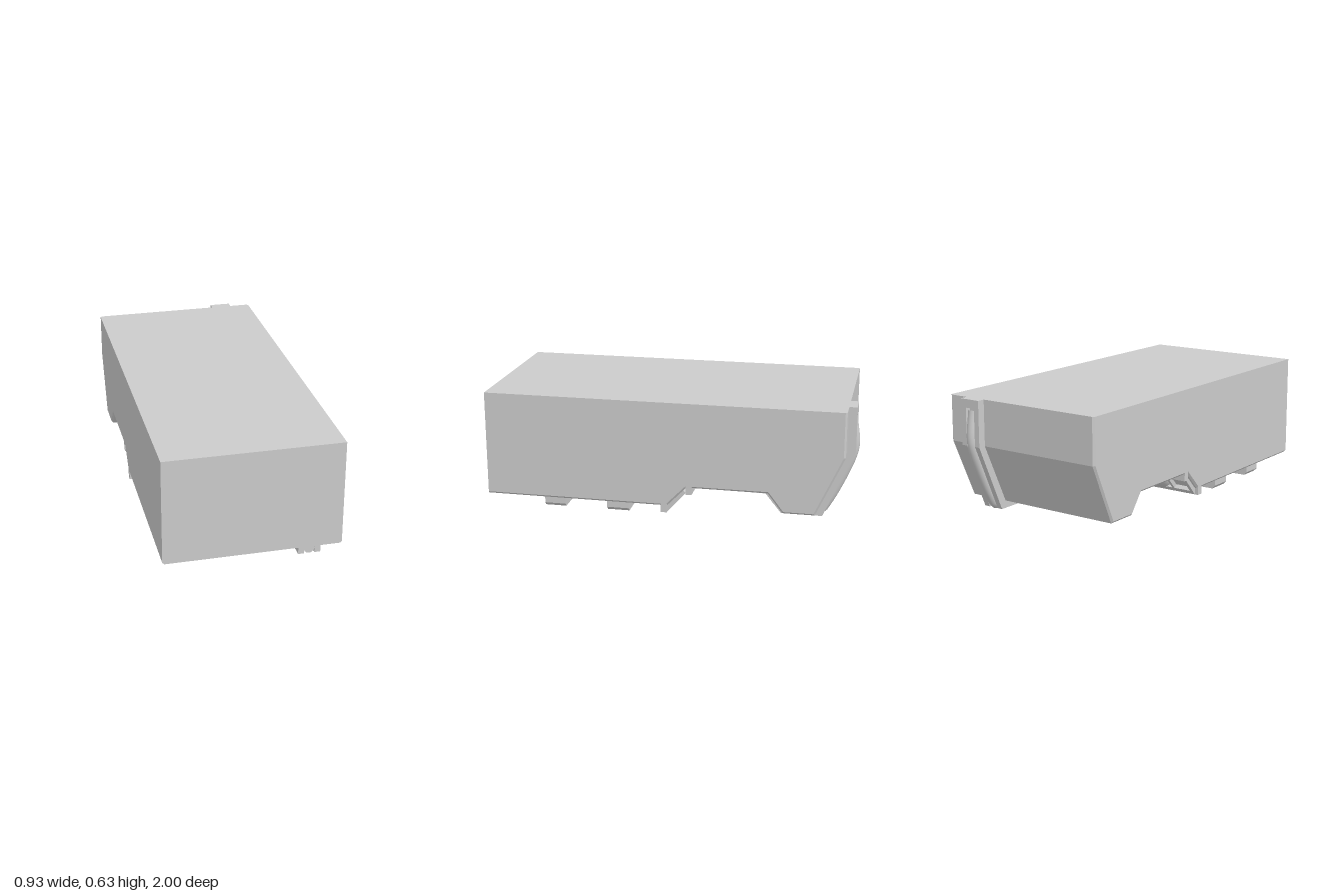
import * as THREE from 'three';

const grey = new THREE.MeshStandardMaterial({ color: 0xcccccc, side: THREE.DoubleSide });

// Lower and rear outline of the body as [z, y], running front to back and up
const inner = [[1, 0.057], [0, 0.057], [-0.105, 0.165], [-0.54, 0.165], [-0.62, 0.06], [-0.79, 0.06], [-0.94, 0.385], [-0.94, 0.63]];
const outer = [[1, 0.02], [0, 0.02], [-0.1, 0.13], [-0.515, 0.125], [-0.6, 0.02], [-0.82, 0.02], [-0.982, 0.385], [-0.982, 0.63]];

const toShape = pts => new THREE.Shape(pts.map(p => new THREE.Vector2(p[0], p[1])));

export function createModel() {
  const group = new THREE.Group();
  const add = (name, geometry) => {
    const mesh = new THREE.Mesh(geometry, grey);
    mesh.name = name;
    group.add(mesh);
    return mesh;
  };
  // Extrudes a [z, y] outline across the width from x0 to x1
  const across = (pts, x0, x1, bevel = 0) => new THREE.ExtrudeGeometry(toShape(pts), {
    depth: x1 - x0 - 2 * bevel, bevelEnabled: bevel > 0, bevelSize: bevel,
    bevelThickness: bevel, bevelOffset: -bevel, bevelSegments: 1,
  }).rotateY(-Math.PI / 2).translate(x1 - bevel, 0, 0);
  const box = (name, x0, x1, y0, y1, z0, z1) =>
    add(name, new THREE.BoxGeometry(x1 - x0, y1 - y0, z1 - z0).translate((x0 + x1) / 2, (y0 + y1) / 2, (z0 + z1) / 2));
  // Round pipe along straight runs with softened corners
  const pipe = (name, x, pts, radius) => {
    const path = new THREE.CatmullRomCurve3(pts.map(([z, y]) => new THREE.Vector3(x, y, z)), false, 'centripetal');
    add(name, new THREE.TubeGeometry(path, 90, radius, 20));
    for (const [z, y] of [pts[0], pts[pts.length - 1]]) {
      add(name + 'End', new THREE.CircleGeometry(radius, 20).translate(x, y, z));
    }
  };

  // Body: chamfered lower and rear side edges, sharp top and front edges
  const bodyGeo = across([[1, 0.63], ...inner], -0.465, 0.465, 0.01);
  const pos = bodyGeo.attributes.position;
  for (let i = 0; i < pos.count; i++) {
    if (pos.getY(i) > 0.6) pos.setY(i, 0.63);
    if (pos.getZ(i) > 0.97) pos.setZ(i, 1);
  }
  bodyGeo.computeVertexNormals();
  add('body', bodyGeo);

  // Conduit channel running along the underside and up the back
  const strip = [...outer, ...[...inner].reverse()];
  add('channelRailInner', across(strip, 0.235, 0.265));
  add('channelRailOuter', across(strip, 0.32, 0.352));
  box('channelTop', 0.265, 0.32, 0.585, 0.63, -0.982, -0.94);
  pipe('conduit', 0.2925, [[0.998, 0.047], [0.5, 0.047], [0.04, 0.047], [-0.02, 0.065], [-0.1, 0.152], [-0.15, 0.157],
    [-0.48, 0.155], [-0.53, 0.12], [-0.6, 0.045], [-0.7, 0.034], [-0.8, 0.038], [-0.84, 0.09],
    [-0.955, 0.34], [-0.971, 0.42], [-0.953, 0.57]], 0.028);

  // Three parallel pipes under the floor, with a closing plate in front
  for (const x of [0.04, -0.1, -0.24]) {
    pipe('floorPipe', x, [[0.9, 0.08], [0.5, 0.08], [0.06, 0.08], [0, 0.09], [-0.1, 0.18], [-0.16, 0.187],
      [-0.5, 0.187], [-0.56, 0.15], [-0.62, 0.08]], 0.06);
  }
  box('pipeEndPlate', -0.31, 0.235, 0.018, 0.07, 0.9, 0.915);

  // Cross beams with chamfered lower ends
  const beam = toShape([[-0.442, 0.07], [-0.442, 0.018], [-0.425, 0], [0.425, 0], [0.442, 0.018], [0.442, 0.07]]);
  for (const [z0, z1] of [[0.57, 0.685], [0.215, 0.335]]) {
    add('crossBeam', new THREE.ExtrudeGeometry(beam, { depth: z1 - z0, bevelEnabled: false }).translate(0, 0, z0));
  }

  // Sloping bracket between floor and arch: two flanges and a windowed plate
  box('lowerFlange', -0.465, 0.465, 0.02, 0.07, 0, 0.035);
  box('upperFlange', -0.465, 0.465, 0.128, 0.18, -0.135, -0.102);
  const plate = toShape([[-0.445, 0], [0.445, 0], [0.445, 0.149], [-0.445, 0.149]]);
  for (const [x0, x1] of [[0.12, 0.22], [-0.31, 0.11], [-0.425, -0.325]]) {
    plate.holes.push(new THREE.Path([[x0, 0.03], [x0, 0.12], [x1, 0.12], [x1, 0.03]].map(p => new THREE.Vector2(...p))));
  }
  const slope = add('slopePlate', new THREE.ExtrudeGeometry(plate, { depth: 0.035, bevelEnabled: false }));
  slope.rotation.x = -Math.atan2(0.1, 0.11);
  slope.position.set(0, 0.02, 0);

  return group;
}
